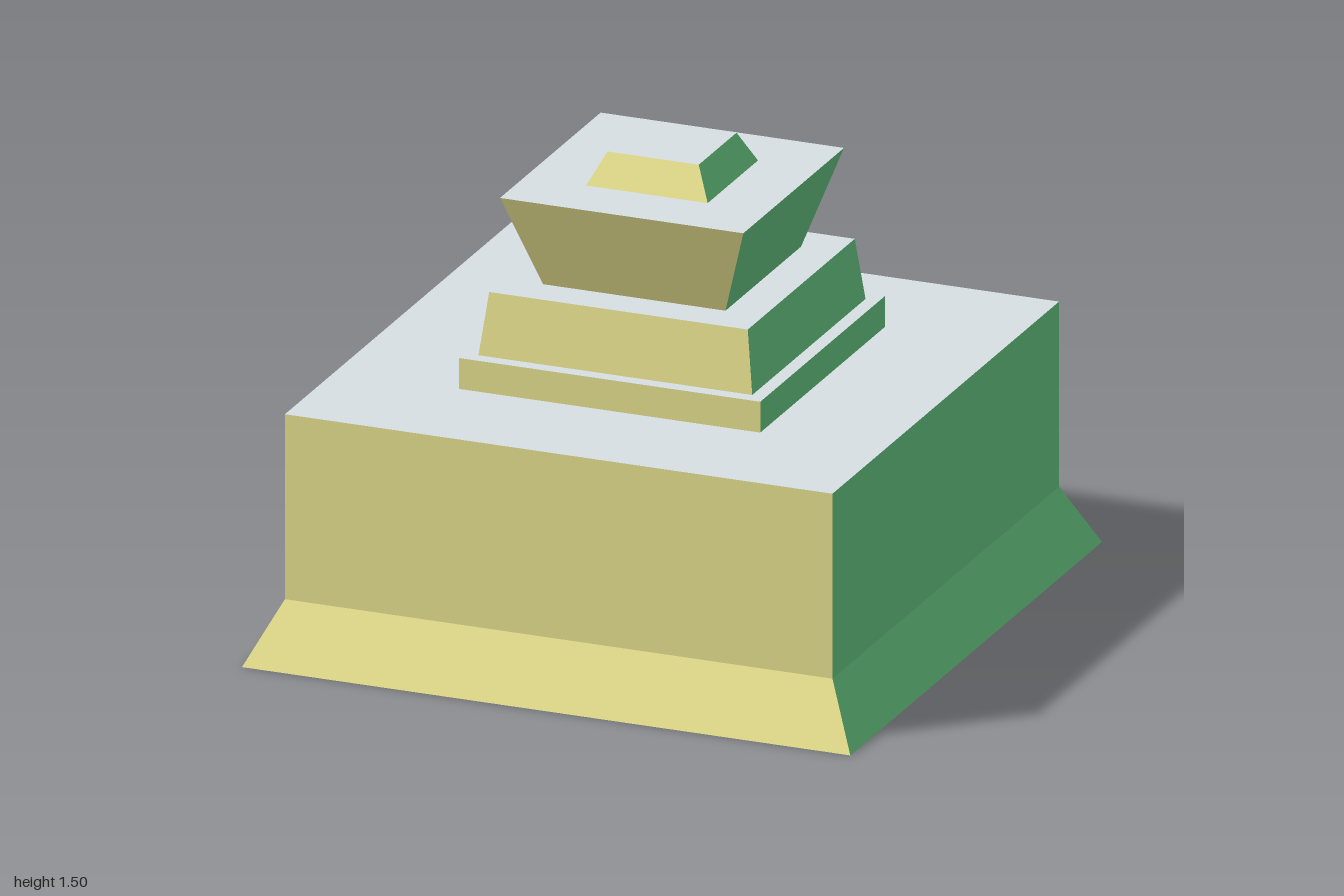
import * as THREE from 'three';

const paint = (name, color) => {
  const m = new THREE.MeshStandardMaterial({ color });
  m.name = name;
  return m;
};

// One colour for each direction a face looks in
const materials = [
  paint('front yellow', 0xe8e28f),
  paint('left green', 0x7aea9a),
  paint('back blue', 0x78c5ec),
  paint('right red', 0xec9d9c),
  paint('top grey', 0xdae3e8),
  paint('underside charcoal', 0x666a7a),
];

// Square tier through a list of [height, half width] sections, closed at both ends
function tier(name, sections) {
  const positions = [];
  const geometry = new THREE.BufferGeometry();
  const corners = ([y, h]) => [[-h, y, h], [h, y, h], [h, y, -h], [-h, y, -h]];
  const quad = (a, b, c, d) => positions.push(...a, ...b, ...c, ...a, ...c, ...d);
  const endGroup = (start, material) =>
    geometry.addGroup(start, positions.length / 3 - start, material);

  // Four walls: front, left, back, right
  for (let side = 0; side < 4; side++) {
    const start = positions.length / 3;
    const next = (side + 1) % 4;
    for (let i = 0; i < sections.length - 1; i++) {
      const low = corners(sections[i]);
      const high = corners(sections[i + 1]);
      quad(low[side], low[next], high[next], high[side]);
    }
    endGroup(start, side);
  }

  // Top and underside
  let start = positions.length / 3;
  quad(...corners(sections[sections.length - 1]));
  endGroup(start, 4);
  start = positions.length / 3;
  quad(...corners(sections[0]).reverse());
  endGroup(start, 5);

  geometry.setAttribute('position', new THREE.Float32BufferAttribute(positions, 3));
  geometry.computeVertexNormals();
  const mesh = new THREE.Mesh(geometry, materials);
  mesh.name = name;
  return mesh;
}

export function createModel() {
  const model = new THREE.Group();
  model.name = 'steppedPedestal';
  model.add(
    tier('flaredBase', [[0, 1], [0.2, 0.9], [0.8, 0.9]]),
    tier('step', [[0.8, 0.495], [0.9, 0.495]]),
    tier('taperedCollar', [[0.9, 0.45], [1.1, 0.425]]),
    tier('flaredHead', [[1.1, 0.3], [1.4, 0.4]]),
    tier('cap', [[1.4, 0.2], [1.5, 0.15]]),
  );
  return model;
}
